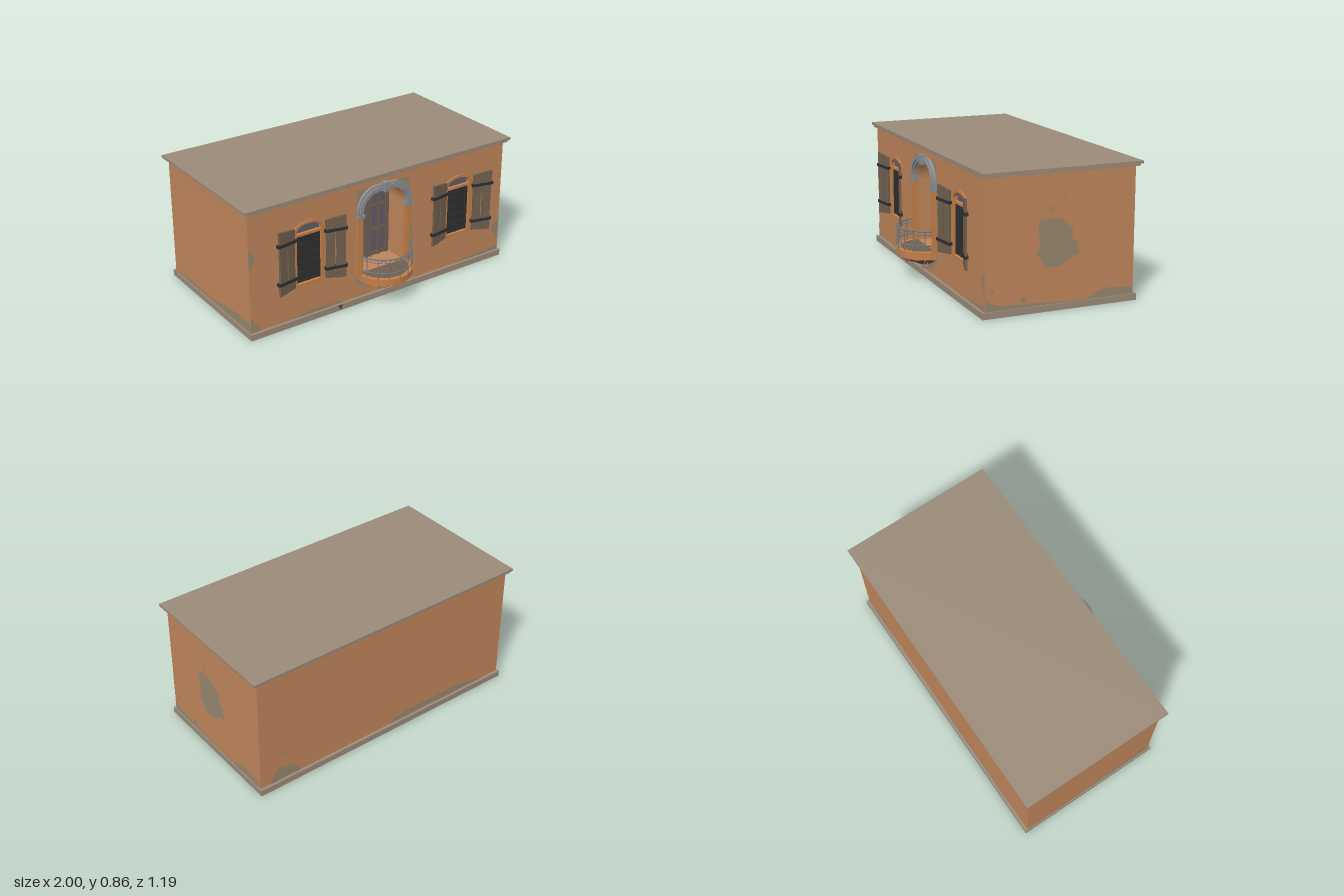
import * as THREE from 'three';

const mat = (name, color, side = THREE.FrontSide) => {
  const m = new THREE.MeshStandardMaterial({ color, side });
  m.name = name;
  return m;
};

export function createModel() {
  const plaster = mat('orange plaster', 0xc0855a);
  const stone = mat('tan stone', 0x9a8a78);
  const bare = mat('bare patch', 0x96866f, THREE.DoubleSide);
  const trim = mat('orange trim', 0xc47e48);
  const wood = mat('weathered wood', 0x70604f);
  const iron = mat('black iron', 0x2e2e2e);
  const glass = mat('dusky glass', 0x625d6b);
  const grey = mat('grey moulding', 0x8b8d8e);
  const rail = mat('rail metal', 0x727a82);
  const dark = mat('dark corbel', 0x594a3b);
  const root = new THREE.Group();
  root.name = 'balconyHouse';

  const add = (name, geo, m, parent = root) => {
    const mesh = new THREE.Mesh(geo, m);
    mesh.name = name;
    parent.add(mesh);
    return mesh;
  };
  // box given by its min and max corners
  const box = (name, m, x0, x1, y0, y1, z0, z1, parent) => {
    const b = add(name, new THREE.BoxGeometry(x1 - x0, y1 - y0, z1 - z0), m, parent);
    b.position.set((x0 + x1) / 2, (y0 + y1) / 2, (z0 + z1) / 2);
    return b;
  };
  // opening with straight sides and rounded top corners
  const arch = (cx, hw, y0, ys, yt, rx, P = THREE.Shape) => {
    const s = new P();
    s.moveTo(cx - hw, y0);
    s.lineTo(cx + hw, y0);
    s.lineTo(cx + hw, ys);
    s.absellipse(cx + hw - rx, ys, rx, yt - ys, 0, Math.PI / 2);
    s.lineTo(cx - hw + rx, yt);
    s.absellipse(cx - hw + rx, ys, rx, yt - ys, Math.PI / 2, Math.PI);
    s.lineTo(cx - hw, y0);
    return s;
  };
  const slab = (name, shape, m, z0, z1, parent) => {
    const g = new THREE.ExtrudeGeometry(shape, { depth: z1 - z0, bevelEnabled: false, curveSegments: 8 });
    g.translate(0, 0, z0);
    return add(name, g, m, parent);
  };
  const poly = pts => new THREE.Shape(pts.map(p => new THREE.Vector2(p[0], p[1])));

  // walls: solid rear body and a front slab with openings
  const windows = [-0.555, 0.595];
  const doorHole = P => arch(0, 0.165, 0.2, 0.6, 0.745, 0.12, P);
  const winHole = (cx, P) => arch(cx, 0.088, 0.272, 0.62, 0.667, 0.088, P);
  box('rearWalls', plaster, -0.97, 0.965, 0.02, 0.84, -0.565, 0.23);
  const front = poly([[-0.97, 0.02], [0.965, 0.02], [0.965, 0.84], [-0.97, 0.84]]);
  front.holes.push(doorHole(THREE.Path), ...windows.map(c => winHole(c, THREE.Path)));
  slab('frontWall', front, plaster, 0.23, 0.4);

  // plinth and stepped flat roof
  box('plinth', stone, -0.98, 0.975, 0, 0.04, -0.585, 0.42);
  box('corniceLower', stone, -0.985, 0.985, 0.826, 0.841, -0.585, 0.42);
  box('roofSlab', stone, -1, 1, 0.841, 0.858, -0.597, 0.43);

  // arched door surround
  for (const s of [-1, 1]) {
    const x = s * 0.183;
    box('doorJamb', trim, x - 0.02, x + 0.02, 0.2, 0.6, 0.39, 0.42);
    box('jambBead', trim, x - 0.009, x + 0.009, 0.2, 0.6, 0.41, 0.428);
    box('jambCapital', grey, x - 0.026, x + 0.026, 0.592, 0.614, 0.39, 0.432);
  }
  const ring = (name, ho, hi, to, ti, z1) => {
    const s = arch(0, ho, 0.61, 0.63, to, 0.14);
    s.holes.push(arch(0, hi, 0.6101, 0.63, ti, 0.12, THREE.Path));
    // open the ring at its foot
    const outer = s.getPoints(8), inner = s.holes[0].getPoints(8);
    const open = [...outer.slice(1, -1), outer[0], inner[0], ...inner.slice(1, -1).reverse()];
    slab(name, new THREE.Shape(open), grey, 0.395, z1);
  };
  ring('archMoulding', 0.205, 0.162, 0.785, 0.742, 0.422);
  ring('archBead', 0.194, 0.174, 0.774, 0.754, 0.432);
  box('keystone', grey, -0.018, 0.018, 0.735, 0.797, 0.395, 0.438);

  // recessed glazed double door
  const door = new THREE.Group();
  door.name = 'door';
  root.add(door);
  box('doorGlass', glass, -0.163, 0.163, 0.2, 0.72, 0.225, 0.24, door);
  for (const s of [-1, 1]) {
    for (const x of [0.014, 0.078, 0.142]) box('doorStile', wood, s * x - 0.007, s * x + 0.007, 0.2, 0.7, 0.235, 0.252, door);
    for (const y of [0.21, 0.38, 0.545]) box('doorRail', wood, s * 0.078 - 0.064, s * 0.078 + 0.064, y, y + 0.016, 0.235, 0.248, door);
  }

  // semicircular balcony
  const balcony = new THREE.Group();
  balcony.name = 'balcony';
  balcony.position.z = 0.4;
  root.add(balcony);
  const half = (name, pts, m) => add(name, new THREE.LatheGeometry(
    pts.map(p => new THREE.Vector2(p[0], p[1])), 12, -Math.PI / 2, Math.PI).toNonIndexed(), m, balcony)
    .geometry.computeVertexNormals();
  half('balconyRim', [[0, 0.15], [0.178, 0.15], [0.178, 0.174], [0.192, 0.174], [0.192, 0.205], [0.165, 0.205]], trim);
  half('balconyFloor', [[0.17, 0.204], [0, 0.204]], wood);
  half('corbelBowl', [[0.03, 0.095], [0.08, 0.11], [0.135, 0.132], [0.168, 0.152]], dark);
  half('corbelKnob', [[0, 0.052], [0.028, 0.055], [0.032, 0.07], [0.042, 0.075], [0.038, 0.1], [0, 0.1]], stone);
  for (let i = 0; i <= 8; i++) {
    const a = Math.PI * (i / 8 - 0.5);
    const rib = add('corbelRib', new THREE.BoxGeometry(0.008, 0.01, 0.13), dark, balcony);
    rib.position.set(Math.sin(a) * 0.1, 0.116, Math.cos(a) * 0.1);
    rib.rotation.set(-0.4, a, 0, 'YXZ');
  }
  for (const [y, r] of [[0.34, 0.005], [0.318, 0.0025], [0.246, 0.004]]) {
    const hoop = add('railHoop', new THREE.TorusGeometry(0.186, r, 6, 16, Math.PI), rail, balcony);
    hoop.rotation.x = Math.PI / 2;
    hoop.position.y = y;
  }
  for (let i = 0; i <= 8; i++) {
    const a = Math.PI * (i / 8 - 0.5);
    const post = add('railPost', new THREE.CylinderGeometry(0.0035, 0.0035, 0.14, 6), rail, balcony);
    post.position.set(Math.sin(a) * 0.186, 0.272, Math.cos(a) * 0.186);
  }

  // barred windows with open shutters
  for (const cx of windows) {
    const win = new THREE.Group();
    win.name = 'window';
    win.position.x = cx;
    root.add(win);
    const frame = arch(0, 0.108, 0.255, 0.63, 0.682, 0.108);
    frame.holes.push(winHole(0, THREE.Path));
    slab('windowFrame', frame, trim, 0.39, 0.411, win);
    slab('fanlight', winHole(0), glass, 0.36, 0.384, win);
    box('transom', trim, -0.088, 0.088, 0.59, 0.606, 0.37, 0.405, win);
    box('windowBacking', iron, -0.087, 0.087, 0.272, 0.592, 0.37, 0.388, win);
    for (const x of [-0.08, 0, 0.08]) box('windowBar', iron, x - 0.005, x + 0.005, 0.275, 0.59, 0.385, 0.399, win);
    for (let i = 0; i < 6; i++) box('windowCrossbar', iron, -0.083, 0.083, 0.277 + i * 0.061, 0.286 + i * 0.061, 0.385, 0.397, win);
    for (const s of [-1, 1]) {
      const shutter = new THREE.Group();
      shutter.name = 'shutter';
      shutter.position.set(s * 0.112, 0, 0.415);
      shutter.rotation.y = s < 0 ? 0.2 : -0.28;
      win.add(shutter);
      // uneven planks, bowed a little along their edges
      const plank = (a, b, lo, hi, z) => slab('shutterPlank', poly([[s * a, lo], [s * b, lo - 0.004],
        [s * (b - 0.005), 0.45], [s * b, hi + 0.006], [s * a, hi - 0.004], [s * (a + 0.005), 0.42]]), wood, z, z + 0.014, shutter);
      plank(0, 0.062, 0.268, 0.665, 0);
      plank(0.064, 0.13, 0.262, 0.676, 0.003);
      for (const y of [0.335, 0.59]) {
        const band = box('shutterBand', iron, -0.072, 0.072, y - 0.009, y + 0.009, -0.004, 0.022, shutter);
        band.position.x = s * 0.066;
        band.rotation.z = s * 0.04;
      }
    }
  }

  // fallen plaster, as thin plates; each face has its own local x axis
  const faces = {
    front: [0, 0, 0, 0.4], right: [Math.PI / 2, 0.965, 0, 0], back: [Math.PI, 0, 0, -0.565], left: [-Math.PI / 2, -0.97, 0, 0],
  };
  const patch = (face, shape, name = 'barePatch') => {
    const [ry, x, y, z] = faces[face];
    const g = new THREE.ShapeGeometry(shape).translate(0, 0, 0.002);
    const p = add(name, g, bare);
    p.rotation.y = ry;
    p.position.set(x, y, z);
  };
  const spot = (face, x, y, r) => patch(face, poly([0, 1, 2, 3, 4, 5, 6].map(i =>
    [x + r * Math.cos(i * 0.9), y + r * 0.9 * Math.sin(i * 0.9)])), 'bareSpot');
  const around = poly([[-0.2, 0.13], [-0.12, 0.1], [0.1, 0.06], [0.14, 0.1], [0.19, 0.13], [0.205, 0.21], [0.24, 0.22],
    [0.235, 0.38], [0.218, 0.45], [0.225, 0.55], [0.2, 0.6], [0.2, 0.77], [0.12, 0.785], [-0.1, 0.775], [-0.2, 0.778],
    [-0.207, 0.62], [-0.2, 0.4]]);
  around.holes.push(doorHole(THREE.Path));
  patch('front', around);
  patch('front', poly([[-0.97, 0.03], [-0.9, 0.045], [-0.925, 0.08], [-0.97, 0.14]]));
  patch('front', poly([[-0.75, 0.03], [-0.3, 0.03], [-0.32, 0.05], [-0.45, 0.066], [-0.55, 0.06], [-0.66, 0.048]]));
  patch('front', poly([[0.45, 0.03], [0.965, 0.03], [0.965, 0.075], [0.85, 0.06], [0.7, 0.052]]));
  patch('front', poly([[-0.97, 0.45], [-0.925, 0.54], [-0.97, 0.61]]), 'cornerChip');
  patch('front', poly([[0.965, 0.12], [0.965, 0.285], [0.9, 0.215]]), 'cornerChip');
  patch('right', poly([[-0.07, 0.54], [-0.04, 0.555], [0.08, 0.553], [0.11, 0.52], [0.155, 0.49], [0.15, 0.43], [0.185, 0.4],
    [0.2, 0.33], [0.13, 0.31], [0.09, 0.27], [0.04, 0.26], [-0.03, 0.275], [-0.04, 0.31], [-0.08, 0.35], [-0.055, 0.4], [-0.065, 0.48]]));
  patch('right', poly([[-0.4, 0.03], [0.565, 0.03], [0.565, 0.083], [0.4, 0.1], [0.35, 0.09], [0.26, 0.045], [0.1, 0.048],
    [-0.1, 0.06], [-0.28, 0.068], [-0.35, 0.08], [-0.4, 0.12]]));
  spot('right', 0.01, 0.617, 0.015);
  spot('right', 0.107, 0.675, 0.011);
  spot('right', -0.16, 0.085, 0.02);
  spot('right', -0.355, 0.155, 0.012);
  patch('back', poly([[-0.9, 0.03], [-0.66, 0.03], [-0.68, 0.07], [-0.74, 0.12], [-0.83, 0.14], [-0.87, 0.09]]));
  patch('back', poly([[0, 0.03], [0.9, 0.03], [0.75, 0.06], [0.6, 0.09], [0.4, 0.085], [0.2, 0.09], [0.08, 0.075]]));
  spot('back', -0.8, 0.24, 0.014);
  spot('back', -0.71, 0.3, 0.011);
  patch('left', poly([[-0.565, 0.03], [0.4, 0.03], [0.4, 0.1], [0.25, 0.11], [0.12, 0.09], [-0.1, 0.06], [-0.35, 0.065], [-0.565, 0.05]]));
  // chip in the plinth
  const chip = add('plinthChip', new THREE.ShapeGeometry(poly([[-0.36, 0.04], [-0.33, 0.002], [-0.32, 0.04]])), dark);
  chip.position.z = 0.422;
  return root;
}
